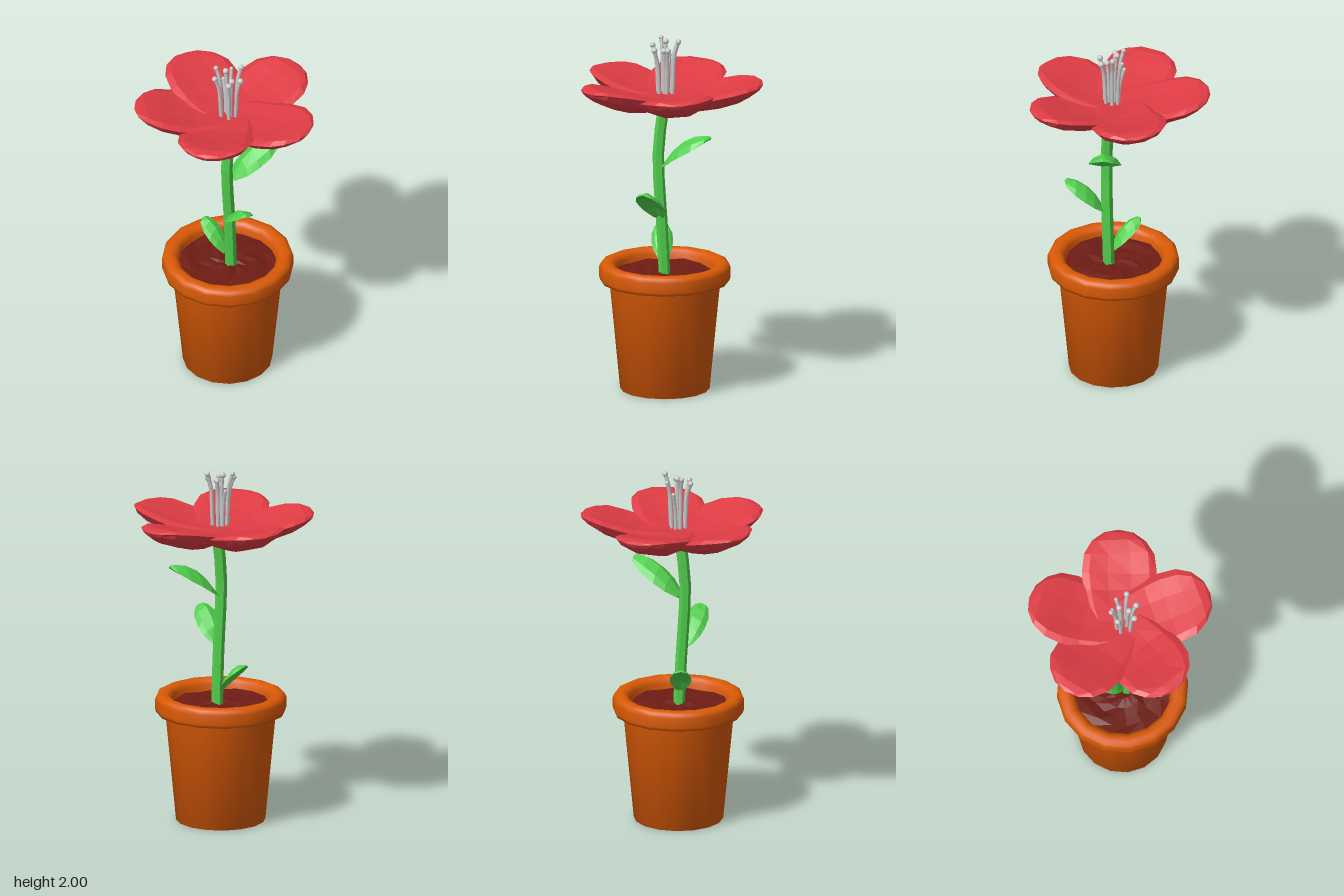
import * as THREE from 'three';

const mat = (color, flatShading = false) =>
  new THREE.MeshStandardMaterial({ color, flatShading, side: THREE.DoubleSide });
const red = mat(0xdf3c44, true), green = mat(0x52d04d, true);
const orange = mat(0xd95a06), earth = mat(0x6e1c14, true), grey = mat(0xcccccc);

const POT = [-0.017, 0, 0.045];

// Repeatable small unevenness from a position
const bump = (a, b) => {
  const s = Math.sin(a * 127.1 + b * 311.7) * 43758.55;
  return s - Math.floor(s) - 0.5;
};

function add(parent, name, geometry, material, x = 0, y = 0, z = 0) {
  const mesh = new THREE.Mesh(geometry, material);
  mesh.name = name;
  mesh.position.set(x, y, z);
  parent.add(mesh);
  return mesh;
}

// Closed blade growing along +x. Stations are [distance, rise, half width],
// from base to tip; curl lifts (or lowers) the edges, thick is the half thickness.
function blade(stations, thick, curl, sides, rough = 0) {
  const n = stations.length;
  const g = new THREE.SphereGeometry(1, sides, n - 1);
  const p = g.attributes.position;
  const widest = Math.max(...stations.map(s => s[2]));
  for (let k = 0; k < p.count; k++) {
    const [d, rise, hw] = stations[n - 1 - Math.floor(k / (sides + 1))];
    const a = ((k % (sides + 1)) % sides) * 2 * Math.PI / sides;
    const across = -Math.cos(a), f = hw / widest;
    const r = rough * f * bump(d + a, hw + a);
    p.setXYZ(k, d + r, rise + curl * (across * f) ** 2 + thick * f * Math.sin(a) + r * 0.5, hw * across);
  }
  g.computeVertexNormals();
  return g;
}

function pot(group) {
  // Tapered body with a closed bottom and a rounded rim dipping inward to the soil
  const profile = [
    [0, 0], [0.247, 0], [0.306, 0.615], [0.356, 0.615], [0.363, 0.635], [0.363, 0.69], [0.355, 0.71],
    [0.335, 0.72], [0.305, 0.72], [0.285, 0.71], [0.272, 0.69], [0.265, 0.64],
  ].map(q => new THREE.Vector2(...q));
  add(group, 'pot', new THREE.LatheGeometry(profile, 16), orange, ...POT);
  // Lumpy soil disc
  const g = new THREE.RingGeometry(0.001, 0.272, 16, 5).rotateX(-Math.PI / 2);
  const p = g.attributes.position;
  for (let i = 0; i < p.count; i++) {
    p.setY(i, 0.02 * bump(Math.round(p.getX(i) * 100), Math.round(p.getZ(i) * 100)));
  }
  add(group, 'soil', g, earth, POT[0], 0.662, POT[2]);
}

function stem(group) {
  const path = new THREE.CatmullRomCurve3([
    [-0.008, 0.64, 0.07], [-0.015, 0.85, 0.076], [-0.028, 1.08, 0.082], [-0.04, 1.3, 0.084],
    [-0.036, 1.42, 0.08], [-0.01, 1.62, 0.075],
  ].map(q => new THREE.Vector3(...q)));
  add(group, 'stem', new THREE.TubeGeometry(path, 7, 0.032, 6), green);
}

function leaves(group) {
  // Unit outline: distance, rise, half width
  const outline = [[0, 0, 0], [0.04, 0.1, 0.42], [0.24, 0.47, 0.86], [0.45, 0.74, 1],
    [0.7, 0.93, 0.95], [0.93, 1, 0.6], [1, 1, 0]];
  // Base, direction in x and z, length, rise, half width
  const list = [
    ['upperLeaf', [-0.02, 1.262, 0.084], [1, 0], 0.297, 0.205, 0.092],
    ['frontLeaf', [-0.03, 0.975, 0.095], [0, 1], 0.222, 0.187, 0.076],
    ['lowerLeaf', [-0.025, 0.728, 0.055], [-0.075, -0.155], 0.172, 0.17, 0.06],
  ];
  // The sides of each leaf hang down from its midline
  for (const [name, base, [dx, dz], len, rise, hw] of list) {
    const g = blade(outline.map(([d, r, w]) => [d * len, r * rise, w * hw]), hw * 0.16, hw * -0.65, 8);
    add(group, name, g, green, ...base).rotation.y = Math.atan2(-dz, dx);
  }
}

function flower(group) {
  const head = new THREE.Group();
  head.name = 'flowerHead';
  head.position.set(-0.01, 1.642, 0.025);
  group.add(head);
  // Five broad plump petals, each slightly tipped so one edge overlaps the next
  const petal = blade([
    [-0.08, 0.012, 0], [-0.02, 0.006, 0.13], [0.08, 0, 0.17], [0.19, 0.002, 0.195], [0.28, 0.017, 0.207],
    [0.38, 0.047, 0.195], [0.45, 0.075, 0.15], [0.498, 0.093, 0.08], [0.515, 0.1, 0],
  ], 0.052, 0.05, 10, 0.018);
  // Direction and length factor
  for (const [degrees, stretch] of [[-92, 1], [-17, 1.03], [56, 1.02], [127, 1], [199, 1]]) {
    const mesh = add(head, 'petal', petal, red);
    mesh.rotation.set(0.05, -THREE.MathUtils.degToRad(degrees), 0, 'YXZ');
    mesh.scale.x = stretch;
  }
}

function stamens(group) {
  // Tip position and bead radius
  const tips = [
    [-0.063, 1.982, -0.008, 0.014], [-0.015, 1.89, -0.015, 0.011], [0.03, 1.95, -0.006, 0.011],
    [-0.093, 1.948, 0.04, 0.016], [-0.02, 1.972, 0.026, 0.017], [0.065, 1.983, 0.045, 0.016],
    [-0.008, 1.93, 0.08, 0.017], [-0.046, 1.94, 0.122, 0.017], [0.03, 1.942, 0.11, 0.017],
  ];
  for (const [x, y, z, r] of tips) {
    const cx = -0.012, cz = 0.055;
    const at = (f, h) => new THREE.Vector3(cx + (x - cx) * f, h, cz + (z - cz) * f);
    const path = new THREE.CatmullRomCurve3([at(0.55, 1.66), at(0.6, 1.75), at(0.72, y - 0.07), at(1, y)]);
    add(group, 'filament', new THREE.TubeGeometry(path, 8, 0.011, 6), grey);
    add(group, 'anther', new THREE.SphereGeometry(r, 10, 8), grey, x, y, z);
  }
}

export function createModel() {
  const group = new THREE.Group();
  group.name = 'pottedFlower';
  [pot, stem, leaves, flower, stamens].forEach(build => build(group));
  return group;
}
